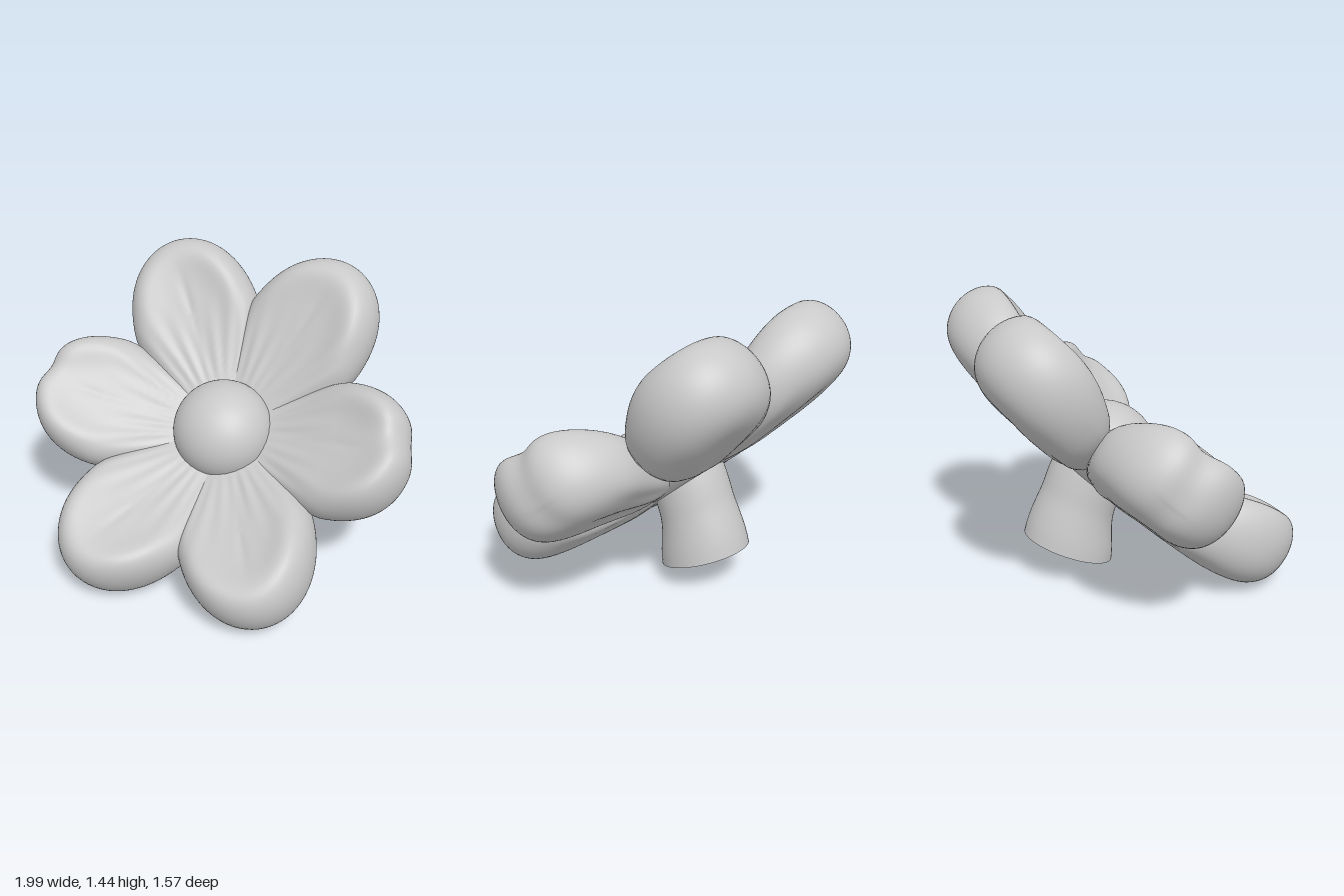
import * as THREE from 'three';
import { mergeVertices } from 'three/addons/utils/BufferGeometryUtils.js';

const smooth = THREE.MathUtils.smoothstep;
const bell = (x, width) => Math.exp(-((x / width) ** 2));

// Puffy teardrop petal along +z: a sphere reshaped into a dished cushion with a soft rim
function petalGeometry({ length = 1, top = 1, dish = 0.06, blunt = 0, lift = 0, notch = 0, notchAt = 0 }) {
  let g = new THREE.SphereGeometry(1, 72, 48);
  g.deleteAttribute('uv');
  g.deleteAttribute('normal');
  g = mergeVertices(g, 1e-5);
  const p = g.attributes.position;
  for (let i = 0; i < p.count; i++) {
    const v = p.getX(i), side = p.getY(i), u = p.getZ(i);
    const rho = Math.min(1, Math.hypot(u, v));
    const x = v * (0.26 + 0.087 * smooth(u, -0.7, 0.05));
    let r = 0.52 + 0.48 * u + blunt * (1 - u * u);
    const puff = Math.sqrt(Math.max(0, 1 - rho ** 4.5));
    const outer = smooth(u, -0.9, 0.6);
    let y = 0.1 * r - 0.04 + lift * smooth(r, 0.2, 0.6);
    if (side > 0) {
      y += (0.015 + 0.215 * outer) * top * puff;
      y += outer * puff * (0.045 * bell(rho - 0.75, 0.25) - dish * (1 - rho * rho));
      // middle crease and fine folds fanning out from the centre
      y -= 0.008 * puff * bell(x, 0.025) * smooth(r, 0.2, 0.4) * (1 - smooth(r, 0.6, 0.85));
      y += 0.004 * puff * Math.cos(34 * x / r) * smooth(r, 0.2, 0.3) * (1 - smooth(r, 0.4, 0.7));
    } else {
      y -= 0.21 * puff;
      y += 0.005 * puff * Math.cos(18 * x / r) * smooth(r, 0.2, 0.4) * (1 - smooth(r, 0.6, 0.9));
    }
    // soft dent in the tip
    const dent = notch * bell(x - notchAt, 0.08) * smooth(u, 0.3, 0.95);
    r -= 0.4 * dent;
    if (side > -0.2) y -= dent * puff;
    p.setXYZ(i, x, y, r * length);
  }
  g.computeVertexNormals();
  return g;
}

// Short bent stalk: a cylinder whose rings follow a curve, cut off at a slant
function stemGeometry() {
  const path = new THREE.CatmullRomCurve3([
    new THREE.Vector3(0, 0.135, -0.295), new THREE.Vector3(0, 0.34, -0.25),
    new THREE.Vector3(0, 0.5, -0.19), new THREE.Vector3(0, 0.64, -0.11),
  ]);
  const g = new THREE.CylinderGeometry(1, 1, 1, 48, 16);
  const p = g.attributes.position;
  for (let i = 0; i < p.count; i++) {
    const t = p.getY(i) + 0.5;
    const c = path.getPoint(t);
    const tilt = THREE.MathUtils.lerp(0.38, 0.6, t);
    const flare = 1 - smooth(t, 0, 0.45);
    const d = p.getZ(i) * (0.2 + 0.042 * flare);
    p.setXYZ(i, p.getX(i) * (0.19 + 0.025 * flare), c.y - d * Math.sin(tilt), c.z + d * Math.cos(tilt));
  }
  g.computeVertexNormals();
  return g;
}

export function createModel() {
  const model = new THREE.Group();
  model.name = 'flower';
  const grey = new THREE.MeshStandardMaterial({ color: 0xc8c8c8 });
  grey.name = 'plain grey';

  // Flower head, leaning forward on the stem
  const head = new THREE.Group();
  head.name = 'flowerHead';
  head.position.set(0, 0.66, -0.055);
  head.rotation.x = 0.736;
  model.add(head);

  const add = (parent, name, geometry) => {
    const mesh = new THREE.Mesh(geometry, grey);
    mesh.name = name;
    parent.add(mesh);
    return mesh;
  };

  // Three mirrored pairs of petals
  const pairs = [
    ['frontPetal', 28.5, { length: 1.05, top: 1.08, blunt: 0.03 }],
    ['sidePetal', 90, { blunt: 0.09, lift: 0.02, notch: 0.05, notchAt: 0.084 }],
    ['backPetal', 151.5, { length: 1.065, top: 0.88, dish: 0.04, blunt: 0.04 }],
  ];
  for (const [name, angle, options] of pairs) {
    for (const s of [1, -1]) {
      const shape = { ...options, notchAt: s * (options.notchAt || 0) };
      const petal = add(head, (s > 0 ? 'left ' : 'right ') + name, petalGeometry(shape));
      petal.rotation.y = s * THREE.MathUtils.degToRad(angle);
    }
  }

  // Domed centre and the hub joining the petals underneath
  const centre = add(head, 'centre', new THREE.SphereGeometry(0.26, 48, 32));
  centre.scale.y = 0.92;
  centre.position.y = -0.03;
  const hub = add(head, 'hub', new THREE.SphereGeometry(0.36, 40, 24));
  hub.scale.y = 0.36;
  hub.position.y = -0.1;

  add(model, 'stem', stemGeometry());
  return model;
}
